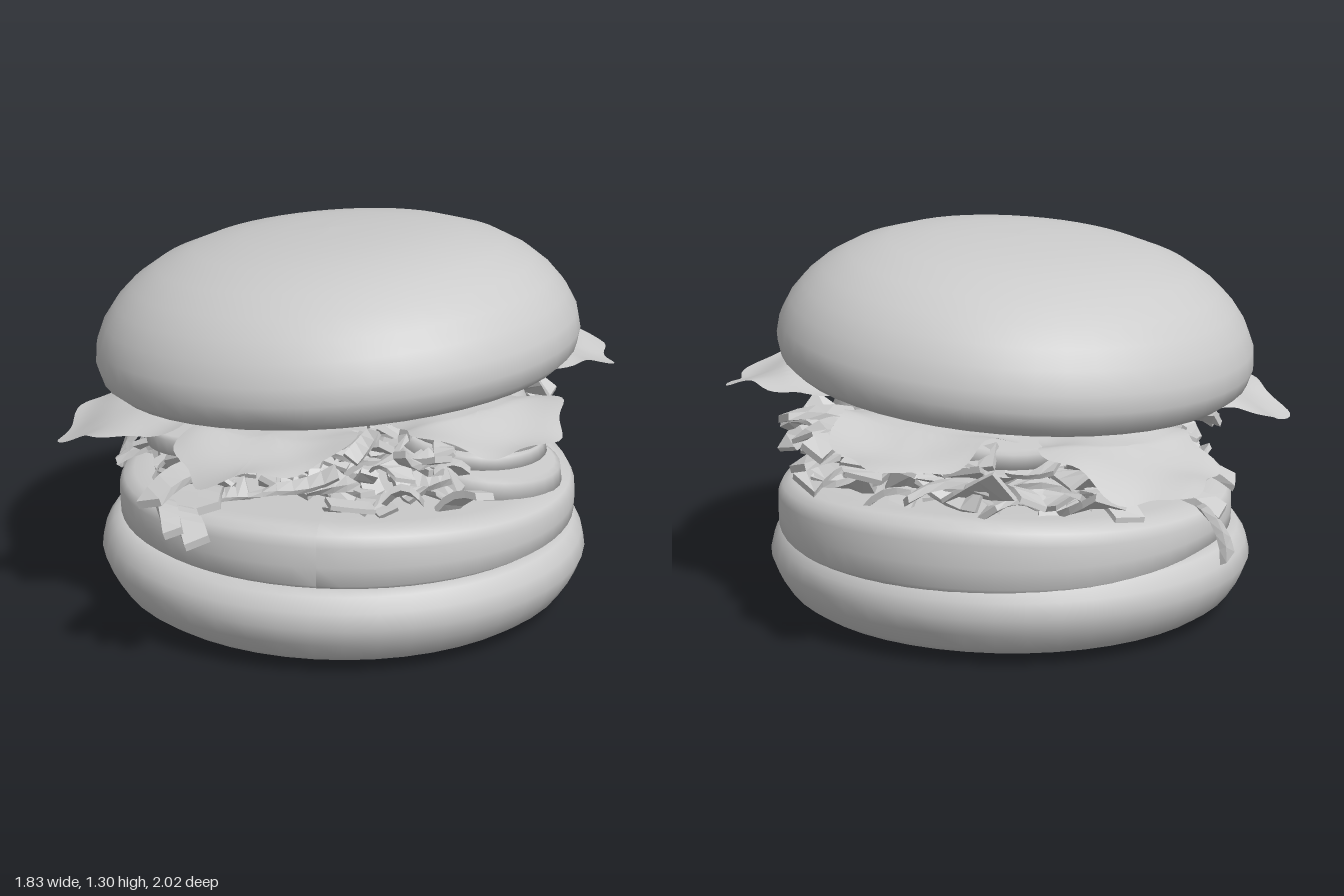
import * as THREE from 'three';

const grey = new THREE.MeshStandardMaterial({ color: 0xcccccc });
const flat = new THREE.MeshStandardMaterial({ color: 0xcccccc, flatShading: true });
const thin = new THREE.MeshStandardMaterial({ color: 0xcccccc, side: THREE.DoubleSide });

// heights of the patty's curved top and of the tilted bun's underside
const pattyTop = (x, z) => 0.445 + 0.1 * z * z;
const bunBase = (x, z) => 0.805 + 0.08 * (x + 0.025) + 0.03 * (z - 0.047);

function part(name, geometry, material = grey) {
  const mesh = new THREE.Mesh(geometry, material);
  mesh.name = name;
  return mesh;
}

function lathe(points, segments = 48) {
  return new THREE.LatheGeometry(points.map(p => new THREE.Vector2(...p)), segments);
}

function moveVertices(geometry, rule) {
  const pos = geometry.attributes.position;
  const v = new THREE.Vector3();
  for (let i = 0; i < pos.count; i++) {
    rule(v.fromBufferAttribute(pos, i));
    pos.setXYZ(i, v.x, v.y, v.z);
  }
  geometry.computeVertexNormals();
  return geometry;
}

function seeded(seed) {
  return () => {
    seed = (seed * 16807) % 2147483647;
    return seed / 2147483647;
  };
}

// lobed leaf with soft ripples that hangs down beyond the bun's rim
function leaf(cx, cz, along, across, phase, lift) {
  const out = Math.atan2(cz, cx);
  const g = new THREE.RingGeometry(0.001, 1, 72, 10);
  g.rotateX(-Math.PI / 2);
  return moveVertices(g, v => {
    const r = Math.hypot(v.x, v.z), a = Math.atan2(v.z, v.x);
    const lobes = 1 + 0.07 * r * Math.cos(7 * a + phase) + 0.03 * r * Math.cos(3 * a + phase);
    const u = v.x * along * lobes, w = v.z * across * lobes;
    const x = cx + u * Math.cos(out) - w * Math.sin(out);
    const z = cz + u * Math.sin(out) + w * Math.cos(out);
    const droop = 0.3 * Math.max(0, Math.hypot(x, z) - 0.74);
    const ripple = 0.032 * r * Math.sin(13 * u + phase) * Math.cos(11 * w + phase);
    v.set(x, bunBase(x, z) + lift - ripple - droop, z);
  });
}

// curled, twisted strip of chopped filling
function shred(length, width, thickness, curl, twist) {
  const g = new THREE.BoxGeometry(length, thickness, width, 4, 1, 1);
  return moveVertices(g, v => {
    const t = v.x / length;
    const a = twist * t;
    const y = v.y * Math.cos(a) - v.z * Math.sin(a);
    v.z = v.y * Math.sin(a) + v.z * Math.cos(a);
    v.y = y + curl * (t * t * 4 - 0.5);
  });
}

export function createModel() {
  const burger = new THREE.Group();
  burger.name = 'burger';

  // bottom bun with a shallow bowl-shaped underside
  const bottomBun = part('bottomBun', lathe([
    [0, 0], [0.25, 0.002], [0.5, 0.01], [0.66, 0.02], [0.745, 0.037], [0.785, 0.065], [0.82, 0.12],
    [0.843, 0.18], [0.83, 0.235], [0.8, 0.28], [0.76, 0.295], [0, 0.295]
  ]));
  bottomBun.position.set(-0.015, 0, 0.035);
  bottomBun.scale.z = 0.98;
  burger.add(bottomBun);

  // patty with raised front and back and a slightly sagging rear edge
  const pattyShape = lathe([
    [0, 0], [0.5, 0], [0.76, 0], [0.79, 0.02], [0.792, 0.07], [0.79, 0.12], [0.775, 0.15],
    [0.74, 0.167], [0.68, 0.174], [0.5, 0.175], [0.25, 0.175], [0, 0.175]
  ], 64);
  const patty = part('patty', moveVertices(pattyShape, v => {
    const t = v.y / 0.175;
    const sag = Math.min(1, Math.max(0, (-v.z - 0.2) / 0.4)) * 0.035;
    const bottom = 0.285 - sag;
    v.y = bottom + t * (pattyTop(v.x, v.z) - bottom);
    v.x -= 0.005;
    v.z += 0.01;
  }));
  burger.add(patty);

  // stacked round slices on the right side, two more under the lettuce
  const slices = new THREE.Group();
  slices.name = 'slices';
  [[0.45, 0.495, 0.08, 0.3, 0.08, -0.13, 0.95], [0.43, 0.56, 0.05, 0.26, 0.06, -0.05, 0.95],
    [0.43, 0.62, 0.05, 0.25, 0.06, -0.1, 0.92], [0.43, 0.71, 0.04, 0.22, 0.12, -0.1, 0.75],
    [-0.38, 0.7, 0.42, 0.24, 0.07, 0.08, 1], [-0.1, 0.68, -0.4, 0.26, 0.07, 0.1, 1]
  ].forEach(([x, y, z, r, h, tilt, taper]) => {
    const slice = part('slice', lathe([
      [0, -h / 2], [r * 0.85, -h / 2], [r, -h / 2 + 0.01], [r * taper, h / 2 - 0.01], [r * taper * 0.93, h / 2], [0, h / 2]
    ], 32));
    slice.position.set(x, y, z);
    slice.rotation.z = tilt;
    slices.add(slice);
  });
  burger.add(slices);

  // heap of chopped filling: broad pieces at the back, fine curls at the front
  const filling = new THREE.Group();
  filling.name = 'choppedFilling';
  const rand = seeded(4711);
  const range = (a, b) => a + (b - a) * rand();
  for (let i = 0; i < 220; i++) {
    const a = range(0, Math.PI * 2), r = 0.7 * Math.sqrt(range(0.08, 1));
    const x = r * Math.cos(a), z = r * Math.sin(a);
    if (x > 0.2 && z > -0.26 && z < 0.42) continue;
    const size = z < -0.15 ? 1.5 : 1;
    const piece = part('shred', shred(range(0.12, 0.2) * size, range(0.05, 0.09) * size,
      range(0.012, 0.026), range(-0.04, 0.04), range(-1.2, 1.2)), flat);
    const low = pattyTop(x, z) + 0.02, high = bunBase(x, z) - 0.09;
    piece.position.set(x, low + (high - low) * range(0, 1) * (z > 0 ? 0.85 : 1), z);
    piece.rotation.set(range(-0.6, 0.6), range(0, 6.28), range(-0.3, 0.3));
    filling.add(piece);
  }
  // strips hanging out at the front and the left
  [[-0.45, 0.66, 0.86, 0.26, 0.09, 1.2, 0.1], [-0.4, 0.53, 0.86, 0.24, 0.08, 2, 0.1],
    [-0.33, 0.62, 0.84, 0.24, 0.07, 1.7, -0.1], [-0.46, 0.56, 0.87, 0.22, 0.06, 1.9, 0.1],
    [-0.83, 0.39, -0.25, 0.2, 0.09, 0.2, 1.1], [-0.75, 0.47, -0.2, 0.18, 0.09, 0, 0.3],
    [-0.7, 0.49, 0.1, 0.22, 0.08, 0.3, 0.3], [0.52, 0.7, -0.38, 0.26, 0.12, 0.7, 0.1],
    [0.42, 0.6, -0.5, 0.28, 0.12, 0.9, -0.1]
  ].forEach(([x, y, z, length, width, turn, tilt]) => {
    const strip = part('looseStrip', shred(length, width, 0.025, -0.02, 0.6), flat);
    strip.position.set(x, y, z);
    strip.rotation.set(0, turn, tilt);
    filling.add(strip);
  });
  burger.add(filling);

  // lettuce leaves around the rim
  const lettuce = new THREE.Group();
  lettuce.name = 'lettuce';
  [[0.04, -0.66, 0.33, 0.28, 0, -0.01], [-0.58, -0.47, 0.29, 0.28, 1, -0.03], [0.62, -0.22, 0.28, 0.28, 2.2, -0.02],
    [0.48, 0.54, 0.27, 0.27, 3.1, -0.03], [-0.17, 0.68, 0.29, 0.28, 4, -0.04], [-0.66, 0.36, 0.25, 0.28, 5.2, -0.015]
  ].forEach(l => lettuce.add(part('lettuceLeaf', leaf(...l), thin)));
  burger.add(lettuce);

  // domed top bun, tilted up to the model's left and slightly to the front
  const topBun = part('topBun', lathe([
    [0, 0], [0.45, 0], [0.7, 0.002], [0.77, 0.012], [0.808, 0.045], [0.823, 0.1], [0.816, 0.16], [0.785, 0.23],
    [0.74, 0.29], [0.68, 0.345], [0.59, 0.4], [0.46, 0.445], [0.3, 0.468], [0.15, 0.477], [0, 0.48]
  ]));
  topBun.position.set(-0.025, 0.805, 0.047);
  topBun.rotation.set(-0.03, 0, 0.08);
  burger.add(topBun);

  return burger;
}
